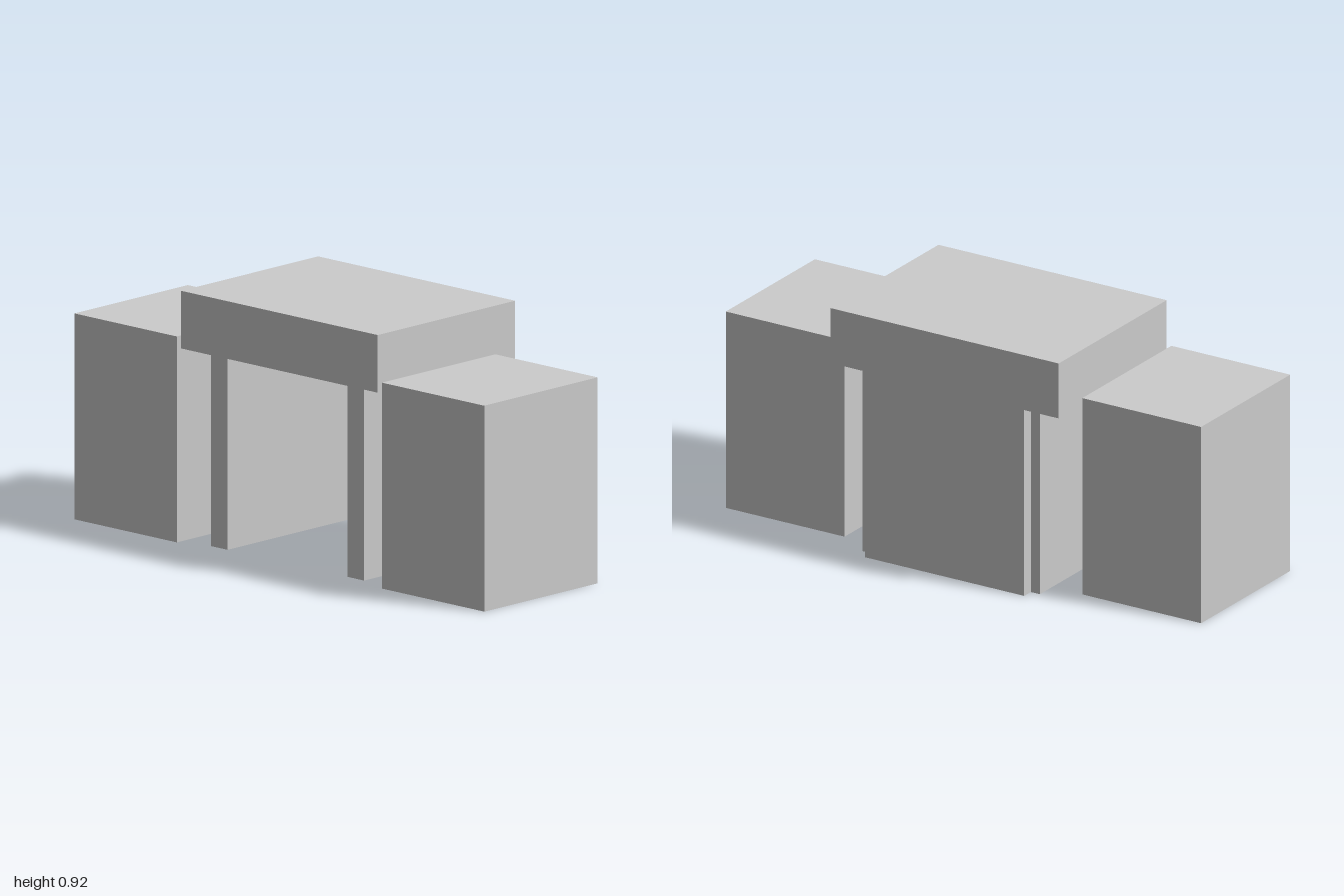
import * as THREE from 'three';

const material = new THREE.MeshStandardMaterial({ color: 0xcccccc, flatShading: true });

// Box given by its lower and upper corners
function block(name, [x0, y0, z0], [x1, y1, z1]) {
  const mesh = new THREE.Mesh(new THREE.BoxGeometry(x1 - x0, y1 - y0, z1 - z0), material);
  mesh.position.set((x0 + x1) / 2, (y0 + y1) / 2, (z0 + z1) / 2);
  mesh.name = name;
  return mesh;
}

export function createModel() {
  const group = new THREE.Group();
  group.name = 'counterWithSideBlocks';
  const depth = 0.353, wallDepth = 0.31, topBase = 0.71;

  // Thick top and the back panel flush with its rear edge
  group.add(block('topSlab', [-0.48, topBase, -depth], [0.48, 0.92, depth]));
  group.add(block('backPanel', [-0.335, 0, -depth], [0.335, topBase, -wallDepth]));

  // Supporting walls and free-standing blocks, mirrored left and right
  for (const [side, s] of [['left', 1], ['right', -1]]) {
    const pair = (name, xIn, xOut, height, zBack, zFront) => group.add(block(side + name,
      [Math.min(s * xIn, s * xOut), 0, zBack], [Math.max(s * xIn, s * xOut), height, zFront]));
    pair('Wall', 0.293, 0.373, topBase, -wallDepth, wallDepth);
    pair('Block', 0.5, 1, 0.75, -0.23, depth);
  }
  return group;
}
